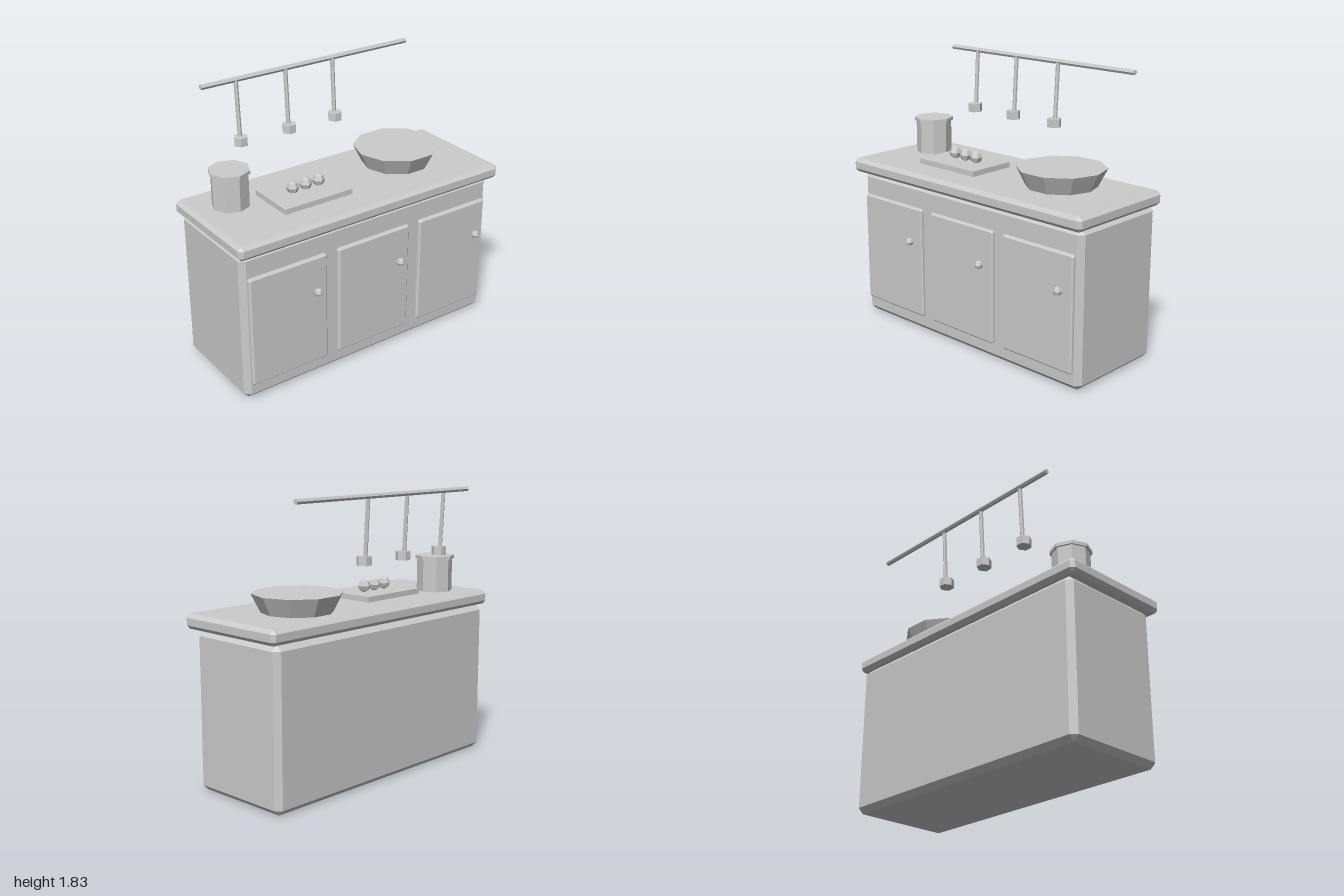
import * as THREE from 'three';
import { ConvexGeometry } from 'three/addons/geometries/ConvexGeometry.js';

const material = new THREE.MeshStandardMaterial({ color: 0xcccccc, flatShading: true });

function add(parent, name, geometry, x = 0, y = 0, z = 0) {
  const mesh = new THREE.Mesh(geometry, material);
  mesh.name = name;
  mesh.position.set(x, y, z);
  parent.add(mesh);
  return mesh;
}

// Box with every edge and corner cut off by c
function chamferBox(w, h, d, c) {
  const points = [];
  for (const sx of [-1, 1]) for (const sy of [-1, 1]) for (const sz of [-1, 1]) {
    const x = w / 2, y = h / 2, z = d / 2;
    points.push(
      new THREE.Vector3(sx * x, sy * (y - c), sz * (z - c)),
      new THREE.Vector3(sx * (x - c), sy * y, sz * (z - c)),
      new THREE.Vector3(sx * (x - c), sy * (y - c), sz * z)
    );
  }
  return new ConvexGeometry(points);
}

// Low-poly ball with a corner facing the front
const ball = (r) => new THREE.SphereGeometry(r, 6, 4).rotateY(Math.PI / 2);

// Straight rod between two points
function rod(parent, name, a, b, r) {
  const mesh = add(parent, name, new THREE.CylinderGeometry(r, r, a.distanceTo(b), 6));
  mesh.position.copy(a).add(b).multiplyScalar(0.5);
  mesh.quaternion.setFromUnitVectors(new THREE.Vector3(0, 1, 0), b.clone().sub(a).normalize());
}

export function createModel() {
  const model = new THREE.Group();
  model.name = 'kitchenIsland';

  // Cabinet body and worktop
  add(model, 'cabinet', chamferBox(1.93, 1.018, 0.722, 0.036), 0, 0.509, -0.031);
  add(model, 'countertop', chamferBox(2, 0.095, 0.794, 0.024), 0, 1.066, -0.005);

  // Three doors, each with a knob
  for (const x of [-0.646, -0.001, 0.644]) {
    const door = new THREE.Group();
    door.name = 'door';
    model.add(door);
    add(door, 'doorPanel', chamferBox(0.56, 0.752, 0.036, 0.011), x, 0.488, 0.337);
    add(door, 'doorKnob', ball(0.028), x + 0.192, 0.632, 0.381);
  }

  // Cutting board with three fruits
  add(model, 'cuttingBoard', new THREE.BoxGeometry(0.503, 0.04, 0.34), -0.303, 1.129, 0.012);
  for (const x of [-0.388, -0.291, -0.194]) add(model, 'fruit', ball(0.043), x, 1.189, 0.011);

  // Lidded canister
  add(model, 'canister', new THREE.CylinderGeometry(0.12, 0.12, 0.225, 8), -0.75, 1.222, -0.132);
  add(model, 'canisterLid', new THREE.CylinderGeometry(0.132, 0.132, 0.023, 8), -0.75, 1.345, -0.132);

  // Bowl
  add(model, 'bowl', new THREE.CylinderGeometry(0.287, 0.225, 0.122, 10).rotateY(Math.PI / 2), 0.481, 1.171, -0.059);

  // Hanging rail with three utensils
  add(model, 'rail', new THREE.CylinderGeometry(0.017, 0.017, 1.57, 6).rotateZ(Math.PI / 2), 0, 1.814, -0.368);
  for (const x of [-0.543, -0.182, 0.179]) {
    const utensil = new THREE.Group();
    utensil.name = 'hangingUtensil';
    model.add(utensil);
    rod(utensil, 'utensilHandle', new THREE.Vector3(x, 1.81, -0.363), new THREE.Vector3(x, 1.44, -0.342), 0.014);
    add(utensil, 'utensilHead', new THREE.CylinderGeometry(0.048, 0.048, 0.056, 6).rotateY(Math.PI / 2), x, 1.422, -0.332);
  }
  return model;
}
